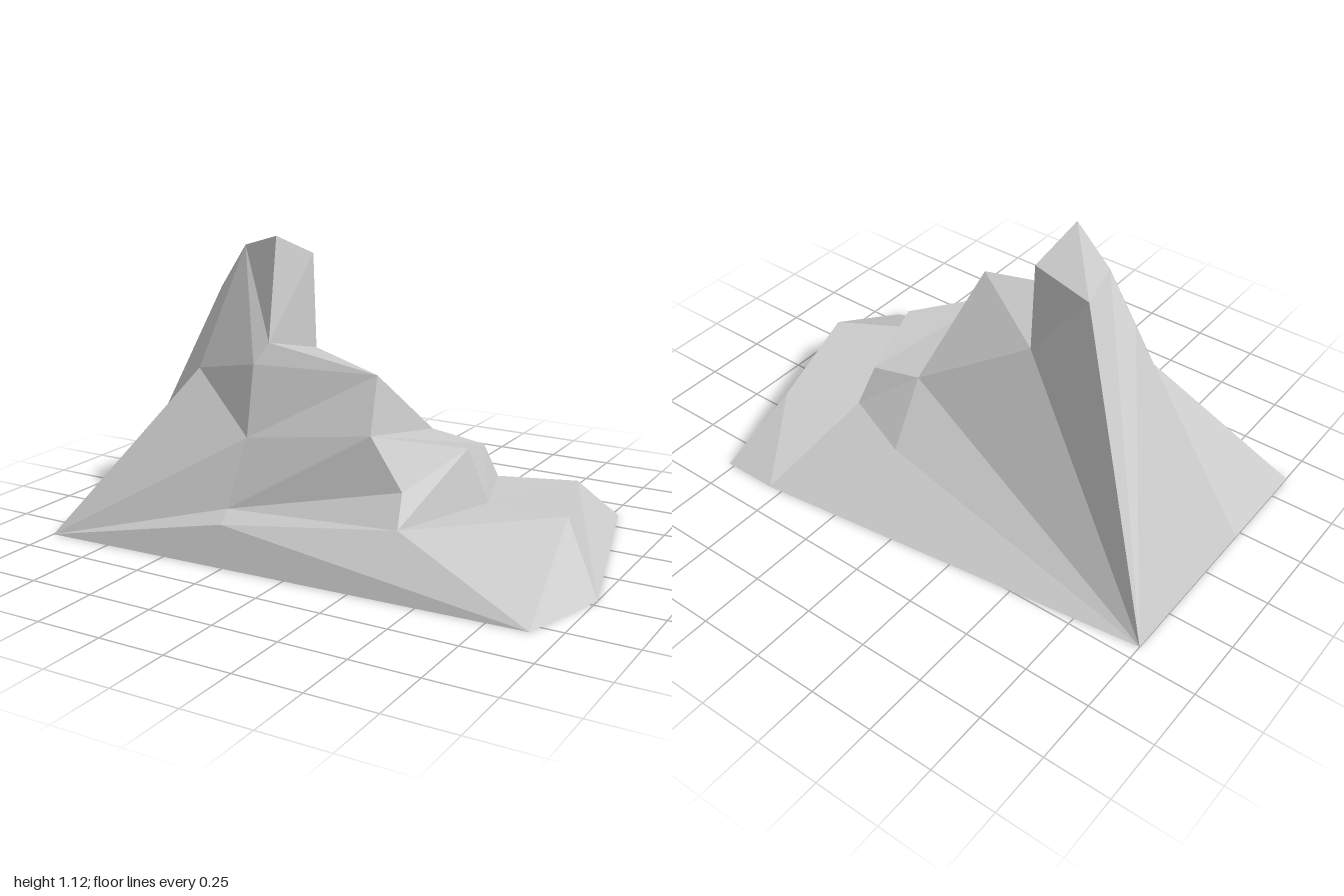
import * as THREE from 'three';

// Corner points of the crag, grouped by height
const P = {
  // ground outline
  a: [-1, 0, 0.62], b: [-1, 0, 0.22], c: [-1, 0, -0.44], d: [0.555, 0, -0.625],
  e: [0.775, 0, -0.625], f: [1, 0, 0.21], g: [0.9, 0, 0.55],
  // low ledge
  h: [-0.28, 0.145, 0.55], i: [-0.3, 0.18, 0.48], j: [0.365, 0.203, 0.435],
  k: [0.55, 0.235, 0.105], l: [0.845, 0.235, 0.105], s: [0.435, 0.22, -0.23],
  t: [0.705, 0.21, -0.35], w: [0.165, 0.19, -0.33],
  // middle step
  n: [0.34, 0.31, 0.355], o: [0.48, 0.43, 0.135], p: [0.218, 0.492, 0.357],
  q: [0.408, 0.36, -0.157], r: [0.205, 0.395, -0.138],
  // shoulder
  m1: [-0.28, 0.68, 0.325], m2: [-0.27, 0.425, 0.39], x1: [0.185, 0.68, 0.25],
  x2: [-0.24, 0.755, 0.283], x3: [-0.592, 0.61, 0.225], v: [-0.24, 0.675, -0.04],
  // peak
  y1: [-0.28, 1.12, 0.163], y2: [-0.25, 1.033, -0.04], y3: [-0.485, 1.06, 0.06],
  y4: [-0.515, 1.028, -0.107], y5: [-0.61, 0.89, 0.042],
};

// Faces of each part, corners anticlockwise from outside
const PARTS = {
  baseSlopes: ['a g h', 'h g j', 'g l j', 'g f l', 'f e t l', 'e d t', 'd s t', 'd w s', 'd c w'],
  lowLedge: ['a h i', 'h j i', 'j l k', 'k l t s'],
  middleStep: ['j k o n', 'k s q o', 'n o p', 'p o q r', 's w r q'],
  shoulder: ['p r x1', 'r v x1', 'v x2 x1', 'm1 x1 x2', 'm2 p x1 m1', 'i n p m2', 'i j n',
    'a i m2 x3', 'x3 m2 m1', 'c v r w'],
  peak: ['x3 m1 y3', 'm1 x2 y3', 'x2 y1 y3', 'x2 v y2 y1', 'y1 y2 y4 y3', 'v c y4 y2',
    'c y5 y3 y4', 'y5 x3 y3', 'c b y5', 'b a x3', 'b x3 y5'],
};

// Fan each polygon into flat triangles
function facets(faces) {
  const pos = [];
  for (const face of faces) {
    const pts = face.split(' ').map((key) => P[key]);
    for (let n = 1; n < pts.length - 1; n++) pos.push(...pts[0], ...pts[n], ...pts[n + 1]);
  }
  const geo = new THREE.BufferGeometry();
  geo.setAttribute('position', new THREE.Float32BufferAttribute(pos, 3));
  geo.computeVertexNormals();
  return geo;
}

export function createModel() {
  const group = new THREE.Group();
  group.name = 'rockCrag';
  // Open shell with no underside, so both sides show
  const stone = new THREE.MeshStandardMaterial({
    color: 0xcccccc, flatShading: true, side: THREE.DoubleSide,
  });
  stone.name = 'paleStone';
  for (const [name, faces] of Object.entries(PARTS)) {
    const mesh = new THREE.Mesh(facets(faces), stone);
    mesh.name = name;
    group.add(mesh);
  }
  return group;
}
